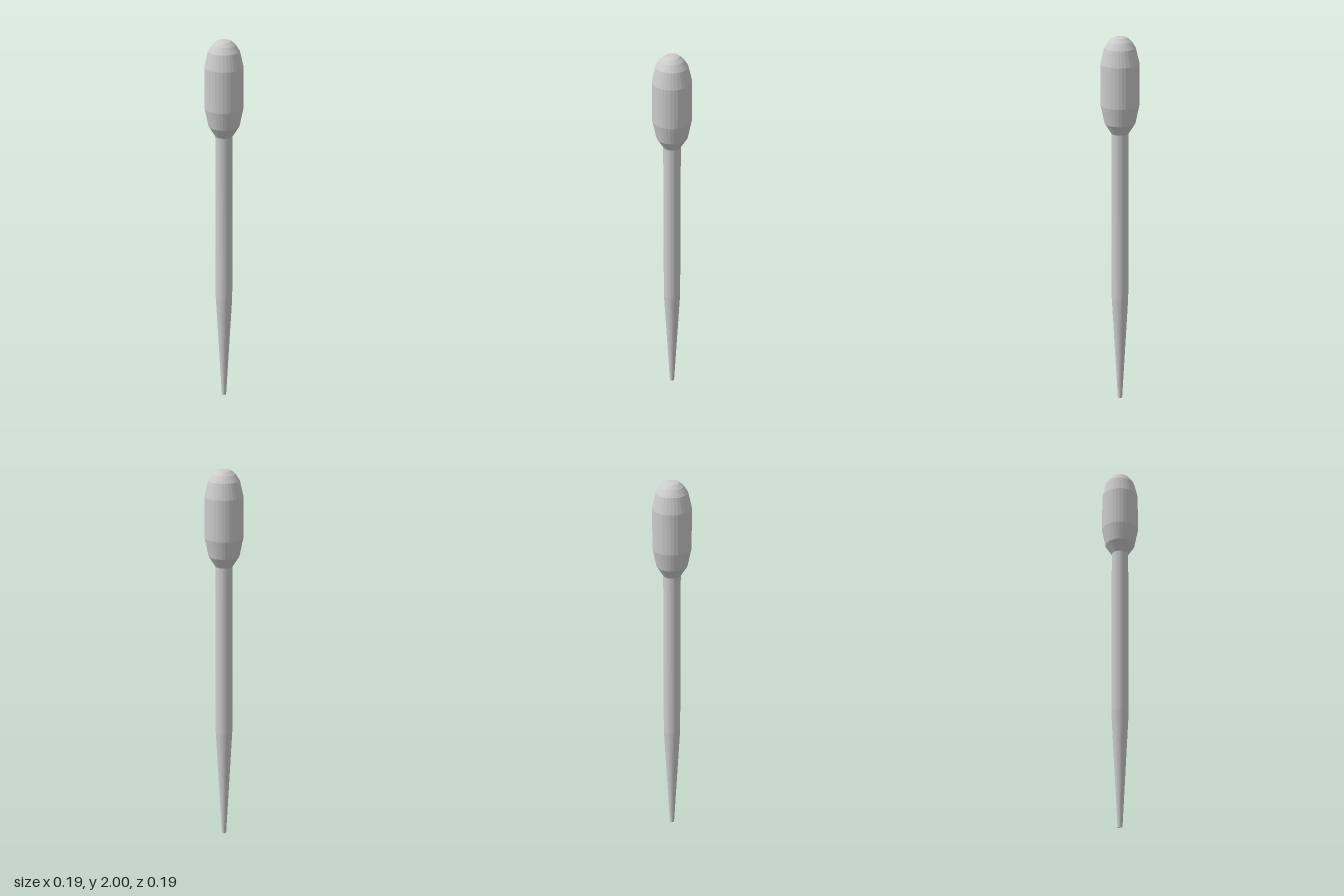
import * as THREE from 'three';

const SIDES = 32;

// Turned part from [radius, height] pairs, listed bottom to top
function turned(name, profile, material) {
  const points = profile.map(([r, y]) => new THREE.Vector2(r, y));
  const mesh = new THREE.Mesh(new THREE.LatheGeometry(points, SIDES), material);
  mesh.name = name;
  return mesh;
}

export function createModel() {
  const group = new THREE.Group();
  group.name = 'dropper';
  const material = new THREE.MeshStandardMaterial({
    color: 0xcccccc, flatShading: true, side: THREE.DoubleSide,
  });

  // Hollow tapered tip, open at the bottom
  group.add(turned('tip', [[0.012, 0], [0.044, 0.6]], material));

  // Straight stem
  group.add(turned('stem', [[0.044, 0.6], [0.044, 1.508]], material));

  // Squeeze bulb with a faceted shoulder and a domed top
  group.add(turned('bulb', [
    [0.044, 1.508], [0.078, 1.562], [0.097, 1.656], [0.097, 1.865],
    [0.078, 1.945], [0.057, 1.977], [0.035, 1.996], [0.018, 2], [0, 2],
  ], material));

  return group;
}
